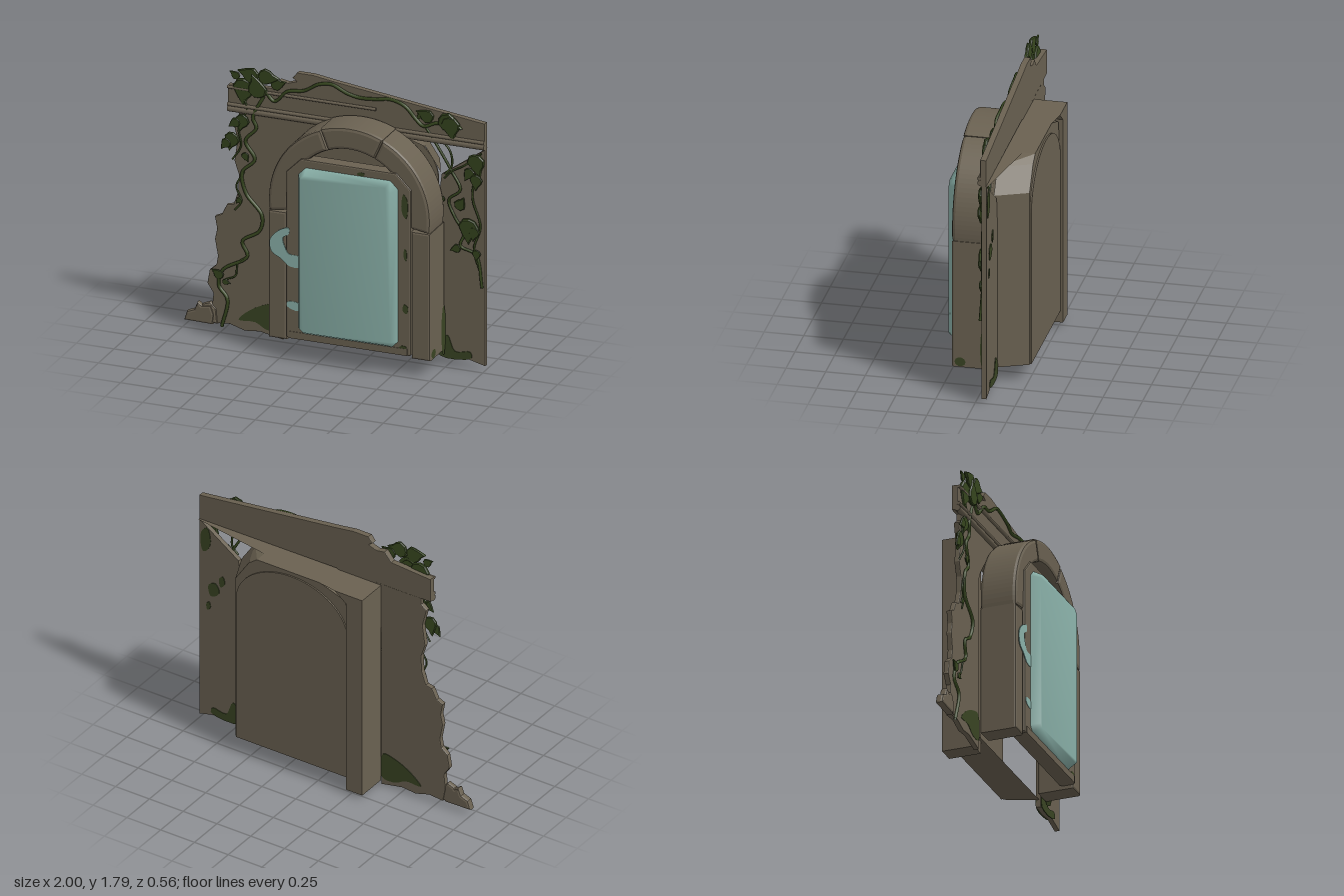
import * as THREE from 'three';
import { mergeVertices } from 'three/addons/utils/BufferGeometryUtils.js';

const paint = (name, color, side = THREE.FrontSide) => {
  const m = new THREE.MeshStandardMaterial({ color, side });
  m.name = name;
  return m;
};

export function createModel() {
  const stone = paint('stone', 0x6a6151);
  const glow = paint('pale teal', 0x8ab1a9);
  const vine = paint('vine green', 0x37471f, THREE.DoubleSide);
  const moss = paint('moss green', 0x394423, THREE.DoubleSide);
  const sheet = stone.clone();
  sheet.name = 'stone sheet';
  sheet.side = THREE.DoubleSide;

  const root = new THREE.Group();
  const add = (name, geo, mat) => {
    const mesh = new THREE.Mesh(geo, mat);
    mesh.name = name;
    root.add(mesh);
    return mesh;
  };
  const shapeOf = pts => new THREE.Shape(pts.map(p => new THREE.Vector2(...p)));
  // Solid slab between two depths, with a chamfer that stays inside the outline
  const slab = (shape, z0, z1, bevel = 0, curveSegments = 16) => {
    const geo = new THREE.ExtrudeGeometry(shape, {
      depth: z1 - z0 - 2 * bevel, bevelEnabled: bevel > 0, bevelThickness: bevel,
      bevelSize: bevel, bevelOffset: -bevel, bevelSegments: 2, curveSegments,
    });
    return geo.translate(0, 0, z0 + bevel);
  };
  const octagon = (x0, x1, y0, y1, top, bottom) => [
    [x0 + bottom, y0], [x1 - bottom, y0], [x1, y0 + bottom], [x1, y1 - top],
    [x1 - top, y1], [x0 + top, y1], [x0, y1 - top], [x0, y0 + bottom]];

  // Broken wall on both sides of the opening
  add('leftWall', slab(shapeOf([
    [-0.345, 0], [-0.345, 1.15], [-0.31, 1.22], [-0.17, 1.39], [0, 1.48],
    [-0.64, 1.48], [-0.64, 1.43], [-0.68, 1.40], [-0.65, 1.28],
    [-0.67, 1.14], [-0.64, 1.05], [-0.645, 0.94], [-0.675, 0.85], [-0.72, 0.84], [-0.755, 0.77],
    [-0.8, 0.75], [-0.785, 0.67], [-0.8, 0.6], [-0.78, 0.49], [-0.79, 0.43], [-0.835, 0.39],
    [-0.85, 0.3], [-0.81, 0.24], [-0.82, 0.14], [-0.8, 0.04], [-0.7, 0.05], [-0.6, 0.02], [-0.5, 0.03]]),
    -0.07, -0.035, 0.006), stone);
  add('rightWall', slab(shapeOf([
    [0.69, 0.06], [0.78, 0.05], [0.88, 0.06], [1, 0.03], [1, 1.465], [0.71, 1.26], [0.69, 1.1]]),
    -0.07, -0.04), stone);
  [[[-1, 0.04], [-0.81, 0.035], [-0.8, 0.1], [-0.82, 0.16], [-0.88, 0.15], [-0.91, 0.17], [-0.93, 0.12], [-0.98, 0.1]],
    [[-0.9, 0.05], [-0.78, 0.04], [-0.79, 0.14], [-0.83, 0.18], [-0.88, 0.16]]]
    .forEach((p, i) => add('rubble', slab(shapeOf(p), -0.065, -0.015 - i * 0.008, 0.014), stone));

  // Lintel with mouldings and a ledge behind it
  add('lintel', slab(shapeOf([
    [-0.71, 1.475], [1, 1.465], [1, 1.64], [-0.02, 1.77], [-0.14, 1.788], [-0.25, 1.788],
    [-0.28, 1.75], [-0.25, 1.73], [-0.31, 1.71], [-0.37, 1.72], [-0.42, 1.66], [-0.71, 1.64]]),
    -0.07, -0.03, 0.004), stone);
  [[-0.71, 1, 1.485, 0.02], [-0.71, 1, 1.515, 0.012], [-0.71, 0.28, 1.63, 0.01]].forEach(([x0, x1, y, r]) => {
    const geo = new THREE.CylinderGeometry(r, r, x1 - x0, 10).rotateZ(Math.PI / 2);
    add('lintelMoulding', geo.translate((x0 + x1) / 2, y, -0.012 - r), stone);
  });
  const ledge = new THREE.ShapeGeometry(shapeOf([[-0.34, 0.05], [1, 0.05], [1, 0.08], [-0.14, 0.28], [-0.34, 0.28]]));
  add('rearLedge', ledge.rotateX(-Math.PI / 2).translate(0, 1.466, 0), sheet);

  // Hollow recess behind the door, lofted from a front outline to a rear one
  const front = [[0.7, 0.11], [0.7, 1.27], [0.6, 1.42], [0.45, 1.465], [-0.02, 1.465], [-0.2, 1.4], [-0.33, 1.25], [-0.33, 0.11]];
  const rear = front.map(([x, y]) => [x > 0.5 ? x - 0.09 : Math.max(x, -0.235), y]);
  const v = [];
  front.forEach((a, i) => {
    const j = (i + 1) % front.length;
    const aF = [...a, -0.05], bF = [...front[j], -0.05], aB = [...rear[i], -0.255], bB = [...rear[j], -0.255];
    v.push(...aF, ...aB, ...bB, ...aF, ...bB, ...bF, 0.19, 0.75, -0.255, ...bB, ...aB);
  });
  const recess = new THREE.BufferGeometry();
  recess.setAttribute('position', new THREE.Float32BufferAttribute(v, 3));
  recess.computeVertexNormals();
  add('recess', recess, stone);
  // Arched panel on the rear of the recess
  const rearArch = new THREE.Shape();
  rearArch.moveTo(-0.225, 0.11);
  rearArch.lineTo(0.6, 0.11);
  rearArch.absellipse(0.1875, 1.13, 0.4125, 0.31, 0, Math.PI, false);
  add('rearArchPanel', slab(rearArch, -0.265, -0.255), stone);
  // Upright pier beside the recess, with a sloping top
  add('rearPier', slab(shapeOf([[-0.345, 0.03], [-0.225, 0.03], [-0.225, 1.4], [-0.14, 1.466], [-0.345, 1.466]]), -0.28, -0.07), stone);

  // Doorway: two pillars and three arch stones
  const cx = 0.195, cy = 1.03;
  for (const s of [-1, 1]) {
    const x = cx + s * 0.477, w = 0.0625;
    add('pillar', slab(shapeOf([[x - w, 0.11], [x + w, 0.11], [x + w, 0.955], [x - w, 0.955]]), -0.03, 0.21, 0.014), stone);
  }
  [[-8.5, 66, 0.54], [66, 111, 0.546], [111, 188.5, 0.54]].forEach(([d0, d1, R]) => {
    const a0 = THREE.MathUtils.degToRad(d0), a1 = THREE.MathUtils.degToRad(d1);
    const shape = new THREE.Shape();
    shape.absarc(cx, cy, R, a0, a1, false);
    shape.absarc(cx, cy, 0.4, a1, a0, true);
    add('archStone', slab(shape, -0.03, 0.21, 0.022, 12), stone);
  });

  // Door frame, sill and softly rounded glowing panel
  const frame = shapeOf(octagon(-0.22, 0.612, 0.13, 1.33, 0.1, 0.01));
  frame.holes.push(new THREE.Path(octagon(-0.11, 0.5, 0.2, 1.25, 0.06, 0.06).map(p => new THREE.Vector2(...p))));
  add('doorFrame', slab(frame, 0.13, 0.222, 0.01), stone);
  add('doorSill', new THREE.BoxGeometry(0.79, 0.045, 0.1).translate(cx, 0.155, 0.176), stone);
  const panel = new THREE.ExtrudeGeometry(shapeOf(octagon(-0.137, 0.527, 0.175, 1.278, 0.05, 0.04)), {
    depth: 0.02, bevelThickness: 0.06, bevelSize: 0.03, bevelOffset: -0.03, bevelSegments: 1,
  });
  panel.deleteAttribute('uv');
  panel.deleteAttribute('normal');
  const softPanel = mergeVertices(panel, 1e-4);
  softPanel.computeVertexNormals();
  add('doorPanel', softPanel.translate(0, 0, 0.2), glow);

  // Painted patches as thin plates
  const patch = (name, pts, mat, z) => {
    const curve = new THREE.CatmullRomCurve3(pts.map(p => new THREE.Vector3(p[0], p[1], 0)), true);
    add(name, slab(shapeOf(curve.getPoints(pts.length * 4).slice(0, -1).map(p => [p.x, p.y])), z, z + 0.006), mat);
  };
  patch('glowSplash', [[-0.2, 0.86], [-0.26, 0.84], [-0.325, 0.77], [-0.315, 0.69], [-0.25, 0.65], [-0.2, 0.61],
    [-0.13, 0.61], [-0.13, 0.68], [-0.2, 0.69], [-0.225, 0.73], [-0.24, 0.79], [-0.2, 0.82]], glow, 0.219);
  patch('glowDrip', [[-0.21, 0.37], [-0.21, 0.34], [-0.135, 0.32], [-0.135, 0.37]], glow, 0.219);
  [[[-0.64, 0.09], [-0.57, 0.16], [-0.45, 0.22], [-0.36, 0.23], [-0.35, 0.06], [-0.45, 0.05], [-0.53, 0.09]],
    [[0.7, 0.06], [0.7, 0.15], [0.75, 0.2], [0.8, 0.1], [0.9, 0.11], [0.91, 0.07]]]
    .forEach(p => {
      patch('wallMoss', p, moss, -0.039);
      patch('rearWallMoss', p, moss, -0.074);
    });
  const blob = (x, y, w, h) => [[x - w, y], [x - w * 0.3, y + h], [x + w, y + h * 0.5], [x + w * 0.6, y - h], [x - w * 0.5, y - h * 0.7]];
  [[0.57, 1.12, 0.02, 0.08], [0.575, 0.8, 0.01, 0.04], [0.575, 0.44, 0.018, 0.03], [0.28, 1.29, 0.025, 0.012],
    [0.56, 0.18, 0.025, 0.015]].forEach(b => patch('frameMoss', blob(...b), moss, 0.219));
  [[0.95, 1.33, 0.035, 0.09], [0.89, 0.98, 0.04, 0.05], [0.83, 1.06, 0.02, 0.04], [0.93, 0.85, 0.015, 0.03]]
    .forEach(b => patch('rearWallMoss', blob(...b), moss, -0.074));
  for (const [z, y, w, h] of [[-0.005, 0.24, 0.035, 0.17], [0.155, 0.145, 0.035, 0.03]]) {
    const geo = new THREE.CircleGeometry(1, 10).scale(w, h, 1).rotateY(Math.PI / 2);
    add('pillarMoss', geo.translate(0.737, y, z), moss);
  }

  // Climbing stems
  const stem = (pts, z, r) => {
    const curve = new THREE.CatmullRomCurve3(pts.map(([x, y], i) => new THREE.Vector3(x, y, z + (i % 2) * 0.008)));
    add('vineStem', new THREE.TubeGeometry(curve, pts.length * 7, r, 6), vine);
  };
  stem([[-0.63, 1.64], [-0.5, 1.69], [-0.4, 1.58], [-0.31, 1.66], [-0.2, 1.68], [-0.1, 1.74], [-0.02, 1.75], [0.09, 1.71], [0.17, 1.69],
    [0.28, 1.7], [0.38, 1.71], [0.48, 1.68], [0.54, 1.61], [0.6, 1.57], [0.68, 1.6], [0.78, 1.6]], -0.025, 0.011);
  stem([[-0.47, 1.6], [-0.54, 1.45], [-0.52, 1.38], [-0.59, 1.29], [-0.53, 1.17], [-0.61, 1.08], [-0.59, 0.94], [-0.48, 0.81],
    [-0.5, 0.7], [-0.61, 0.62], [-0.58, 0.52], [-0.74, 0.41], [-0.77, 0.3], [-0.71, 0.22], [-0.75, 0.03]], -0.03, 0.011);
  stem([[-0.63, 1.62], [-0.58, 1.5], [-0.64, 1.38], [-0.62, 1.25], [-0.68, 1.15]], -0.03, 0.006);
  stem([[-0.6, 1.08], [-0.65, 0.98], [-0.62, 0.88], [-0.66, 0.82]], -0.03, 0.006);
  stem([[-0.58, 0.52], [-0.64, 0.47], [-0.66, 0.38], [-0.72, 0.35]], -0.03, 0.006);
  stem([[0.6, 1.57], [0.68, 1.46], [0.78, 1.29], [0.84, 1.18], [0.76, 1.1], [0.8, 1], [0.86, 0.89], [0.84, 0.81],
    [0.94, 0.76], [0.985, 0.55]], -0.035, 0.009);
  stem([[0.73, 1.24], [0.79, 1.3], [0.86, 1.34], [0.98, 1.44]], -0.035, 0.006);
  stem([[0.7, 1.5], [0.77, 1.43], [0.78, 1.33], [0.74, 1.27]], -0.035, 0.007);
  stem([[0.97, 1.4], [0.92, 1.15], [0.97, 0.95], [0.93, 0.8], [0.97, 0.65]], -0.035, 0.007);

  // Broad pointed leaves: x, y, size, turn
  const leafShape = shapeOf([[0, 0], [0.25, 0.05], [0.42, 0.32], [0.36, 0.5], [0.25, 0.72],
    [0, 1.1], [-0.15, 0.8], [-0.32, 0.62], [-0.42, 0.35], [-0.25, 0.08]]);
  const leafGeo = new THREE.ExtrudeGeometry(leafShape, {
    depth: 0.06, bevelThickness: 0.05, bevelSize: 0.04, bevelOffset: -0.04, bevelSegments: 1,
  });
  [[-0.6, 1.7, 0.17, 3.1], [-0.49, 1.59, 0.15, 0.3], [-0.5, 1.72, 0.13, 1.3], [-0.42, 1.68, 0.1, -1.2], [-0.63, 1.7, 0.07, 1],
    [-0.5, 1.74, 0.13, -1.6], [0.66, 1.62, 0.11, 1.2], [0.7, 1.64, 0.15, -1.9], [0.77, 1.66, 0.15, 3.3], [0.6, 1.66, 0.07, 2.4],
    [-0.6, 1.46, 0.11, 2.9], [-0.63, 1.42, 0.08, 2.2], [-0.67, 1.33, 0.12, 2.9], [-0.7, 1.28, 0.08, 2.5], [-0.6, 1.21, 0.06, 3.6],
    [-0.62, 0.9, 0.05, 2.4], [-0.74, 0.36, 0.08, 1], [-0.74, 0.34, 0.05, -1.8],
    [0.93, 1.43, 0.14, 3.4], [0.92, 1.33, 0.09, 2.6], [0.95, 1.3, 0.1, 3.1], [0.82, 1.05, 0.09, -0.5], [0.9, 1, 0.16, 3.1],
    [0.94, 0.95, 0.09, 3], [0.84, 0.8, 0.07, 2], [0.95, 0.8, 0.07, 3.1], [0.74, 1.1, 0.05, 1.2]]
    .forEach(([x, y, s, turn], i) => {
      const leaf = add('leaf', leafGeo, vine);
      leaf.position.set(x, y, -0.028 + (i % 3) * 0.005);
      leaf.rotation.set(0.08, 0, turn);
      leaf.scale.setScalar(s);
    });
  return root;
}
